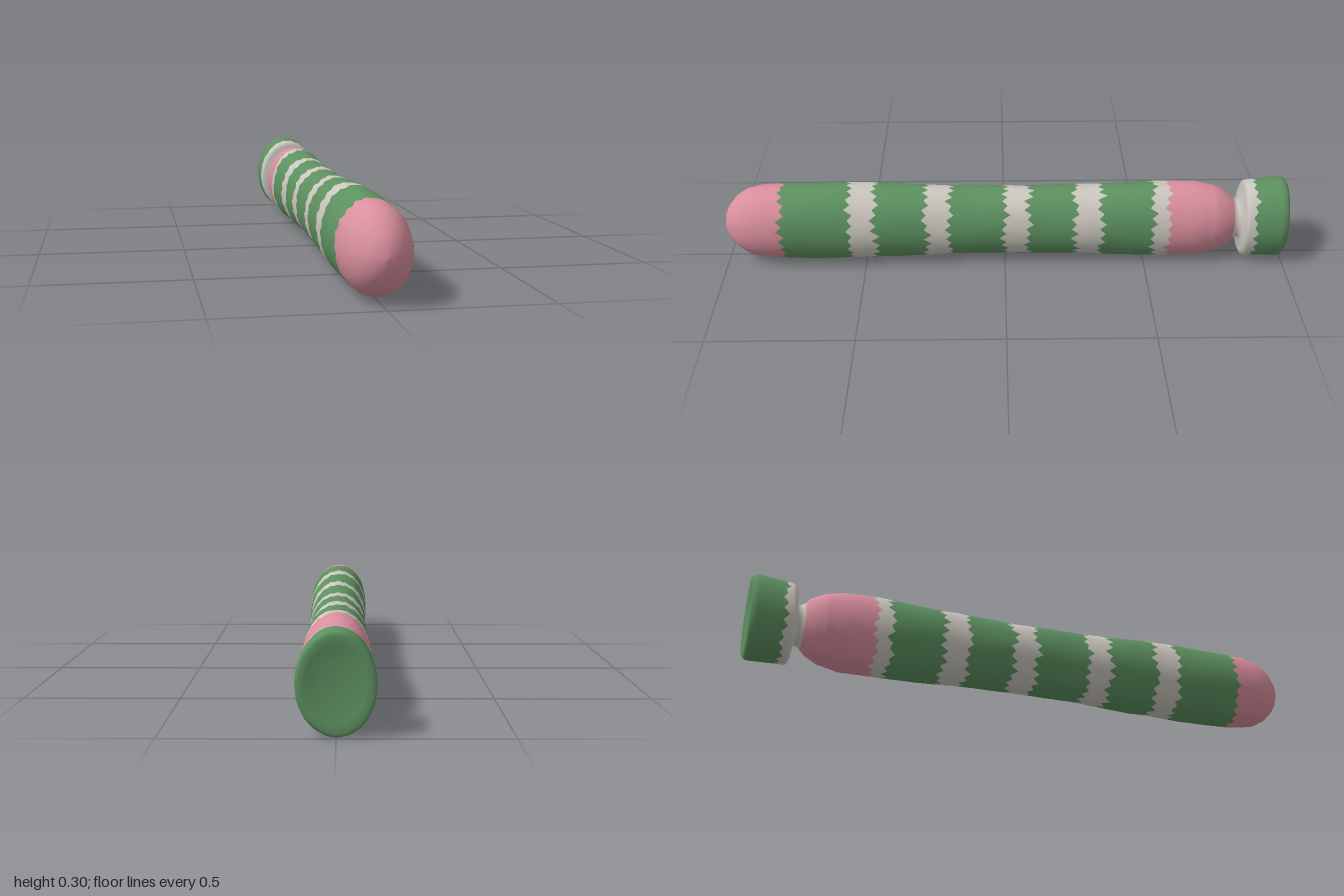
import * as THREE from 'three';

const SEG = 44;

// Profile rows: [s, halfWidth, halfHeight, centreY]; s runs along z, folding back past -1 for the dished end
const PROFILE = [
  [1, 0, 0, 0.145], [0.995, 0.03, 0.035, 0.145], [0.98, 0.055, 0.068, 0.145], [0.95, 0.08, 0.102, 0.146],
  [0.91, 0.097, 0.127, 0.147], [0.86, 0.107, 0.138, 0.147], [0.78, 0.11, 0.143, 0.146], [0.6, 0.109, 0.146, 0.147],
  [0.4, 0.106, 0.142, 0.147], [0.2, 0.1, 0.131, 0.147], [-0.1, 0.098, 0.129, 0.147], [-0.3, 0.101, 0.134, 0.146],
  [-0.55, 0.108, 0.144, 0.147], [-0.68, 0.107, 0.142, 0.146], [-0.75, 0.098, 0.126, 0.147], [-0.795, 0.082, 0.102, 0.147],
  [-0.815, 0.068, 0.08, 0.147], [-0.83, 0.062, 0.07, 0.147], [-0.845, 0.072, 0.08, 0.148],
  [-0.847, 0.1, 0.125, 0.149], [-0.853, 0.11, 0.141, 0.149], [-0.865, 0.113, 0.145, 0.149],
  [-0.975, 0.115, 0.151, 0.151], [-0.99, 0.114, 0.149, 0.151], [-1, 0.104, 0.137, 0.151],
  [-1.008, 0.085, 0.11, 0.151], [-1.012, 0.045, 0.06, 0.151], [-1.014, 0, 0, 0.151],
];

// Bands from front to back: [name, material, rear border, jaggedness]
const BANDS = [
  ['frontTip', 'pink', 0.79, 0.02],
  ['greenBand1', 'green', 0.55, 0.02], ['whiteStripe1', 'white', 0.46, 0.022],
  ['greenBand2', 'green', 0.28, 0.022], ['whiteStripe2', 'white', 0.195, 0.022],
  ['greenBand3', 'green', 0.0, 0.022], ['whiteStripe3', 'white', -0.085, 0.022],
  ['greenBand4', 'green', -0.25, 0.022], ['whiteStripe4', 'white', -0.34, 0.022],
  ['greenBand5', 'green', -0.525, 0.022], ['whiteStripe5', 'white', -0.578, 0.018],
  ['rearPinkSection', 'pink', -0.815, 0],
  ['neckAndCapFront', 'white', -0.885, 0.014],
  ['endCap', 'green', -1.014, 0],
];

function hash(i, j) {
  const v = Math.sin(i * 127.1 + j * 311.7) * 43758.5453;
  return v - Math.floor(v);
}

// Cross-section at s, interpolated from the profile
function section(s) {
  let k = 0;
  while (k < PROFILE.length - 2 && PROFILE[k + 1][0] > s) k++;
  const a = PROFILE[k], b = PROFILE[k + 1];
  const f = THREE.MathUtils.clamp((s - a[0]) / (b[0] - a[0]), 0, 1);
  return [1, 2, 3].map(n => THREE.MathUtils.lerp(a[n], b[n], f));
}

// Ring stations: even spacing and profile corners, kept clear of the jagged borders
function makeStations() {
  const list = BANDS.map(b => ({ s: b[2], jag: b[3] }));
  const free = PROFILE.map(p => p[0]);
  for (let s = 0.76; s > -0.8; s -= 0.03) free.push(s);
  free.push(-0.91, -0.94);
  for (const s of free) {
    if (list.every(b => Math.abs(b.s - s) > (b.jag ? b.jag + 0.004 : 0.0015))) list.push({ s, jag: 0 });
  }
  return list.sort((a, b) => b.s - a.s);
}

export function createModel() {
  const materials = {
    green: new THREE.MeshStandardMaterial({ name: 'green', color: 0x5d9160 }),
    white: new THREE.MeshStandardMaterial({ name: 'offWhite', color: 0xcbc6be }),
    pink: new THREE.MeshStandardMaterial({ name: 'pink', color: 0xd98f9e }),
  };
  const stations = makeStations();

  // Lumpy oval rings
  const positions = [];
  stations.forEach(({ s, jag }, i) => {
    for (let j = 0; j < SEG; j++) {
      const t = (j / SEG) * Math.PI * 2;
      const zig = (j % 2 ? 1 : -1) * (0.25 + 0.45 * hash(i, j)) + 0.3 * Math.sin(j * 0.9 + i);
      const sj = s + jag * zig;
      const [w, h, cy] = section(sj);
      const lump = 1 + 0.008 * Math.sin(3 * t + 17 * sj) + 0.014 * (hash(i + 50, j) - 0.5);
      const z = sj < -1 ? -2 - sj : sj;
      positions.push(w * lump * Math.cos(t), Math.max(0, cy + h * lump * Math.sin(t)), z);
    }
  });

  // Faces between neighbouring rings
  const strip = (from, to) => {
    const index = [];
    for (let i = from; i < to; i++) {
      for (let j = 0; j < SEG; j++) {
        const n = (j + 1) % SEG;
        const a = i * SEG + j, b = i * SEG + n, c = a + SEG, d = b + SEG;
        index.push(a, c, b, b, c, d);
      }
    }
    return index;
  };
  const whole = new THREE.BufferGeometry();
  whole.setAttribute('position', new THREE.Float32BufferAttribute(positions, 3));
  whole.setIndex(strip(0, stations.length - 1));
  whole.computeVertexNormals();

  // One mesh per coloured band, sharing the smooth normals
  const group = new THREE.Group();
  group.name = 'stripedStick';
  let start = 0;
  for (const [name, colour, border] of BANDS) {
    const end = stations.findIndex(r => r.s === border);
    const geometry = new THREE.BufferGeometry();
    geometry.setAttribute('position', whole.getAttribute('position'));
    geometry.setAttribute('normal', whole.getAttribute('normal'));
    geometry.setIndex(strip(start, end));
    const mesh = new THREE.Mesh(geometry, materials[colour]);
    mesh.name = name;
    group.add(mesh);
    start = end;
  }
  return group;
}
